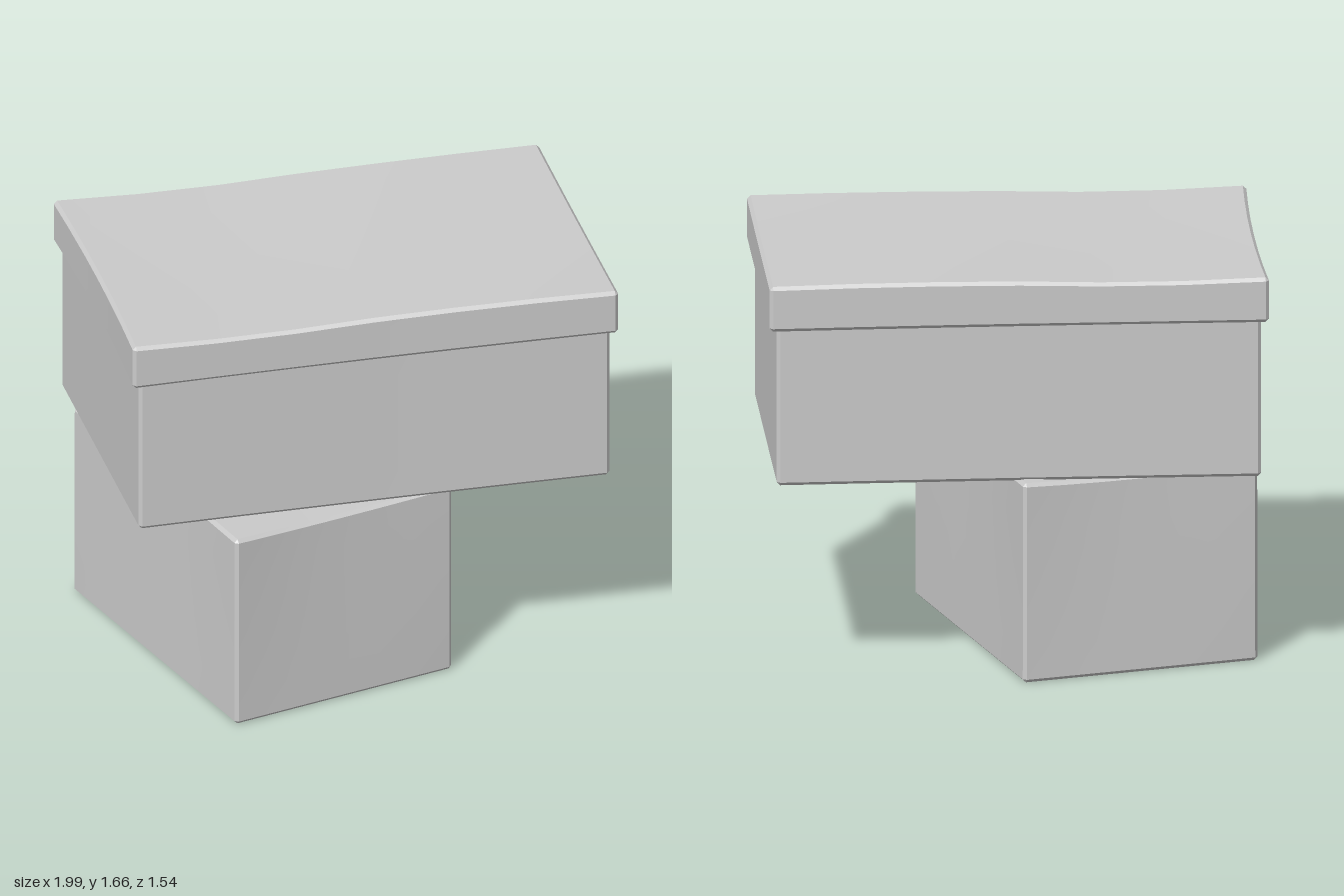
import * as THREE from 'three';
import { toCreasedNormals } from 'three/addons/utils/BufferGeometryUtils.js';

const SEGMENTS = 8;
const CHAMFER = 0.014;

// Chamfered box spanning min..max; warp(point, u) bends it, u running -1..1 per axis.
function warpedBox(name, min, max, warp) {
  const geometry = new THREE.BoxGeometry(2, 2, 2, SEGMENTS, SEGMENTS, SEGMENTS);
  const position = geometry.attributes.position;
  const p = new THREE.Vector3();
  const u = new THREE.Vector3();
  const axes = ['x', 'y', 'z'];
  for (let i = 0; i < position.count; i++) {
    u.fromBufferAttribute(position, i);
    const outer = axes.filter((a) => Math.abs(u[a]) > 0.999).length;
    // Edges and corners are cut back; the next grid line marks the chamfer's rim.
    const inset = [0, 0, CHAMFER / 2, CHAMFER * 2 / 3][outer];
    axes.forEach((a, k) => {
      const half = (max[k] - min[k]) / 2;
      const step = Math.round((Math.abs(u[a]) * SEGMENTS) / 2);
      const last = SEGMENTS / 2;
      let reach = half * Math.min(1, step / (last - 1));
      if (step === last) reach = half - inset;
      else if (step === last - 1) reach = half - CHAMFER;
      else reach = (half - CHAMFER) * step / (last - 1);
      p[a] = (min[k] + max[k]) / 2 + Math.sign(u[a]) * reach;
      u[a] = Math.sign(u[a]) * reach / half;
    });
    warp(p, u);
    position.setXYZ(i, p.x, p.y, p.z);
  }
  const mesh = new THREE.Mesh(
    toCreasedNormals(geometry, 0.3),
    new THREE.MeshStandardMaterial({ color: 0xcccccc })
  );
  mesh.name = name;
  return mesh;
}

const bulge = (t) => Math.max(0, 1 - t * t);

export function createModel() {
  const group = new THREE.Group();
  group.name = 'stackedBoxes';

  // Lower box, turned on the floor, with walls sagging inwards near the top
  const lower = warpedBox('lowerBox', [-0.495, 0, -0.665], [0.495, 0.828, 0.665], (p, u) => {
    const top = (u.y + 1) / 2;
    const { x, z } = p;
    p.x -= 0.02 * top * u.x * bulge(u.z);
    p.z -= 0.02 * top * u.z * bulge(u.x);
    p.y -= 0.016 * top * Math.max(bulge(x / 0.495), bulge(z / 0.665));
  });
  lower.rotation.y = THREE.MathUtils.degToRad(15.2);
  lower.position.set(-0.32, 0, 0);
  group.add(lower);

  // Upper box, resting off-centre on the lower one
  group.add(warpedBox('upperBox', [-0.97, 0.82, -0.705], [0.965, 1.5, 0.57], (p, u) => {
    p.z -= 0.006 * u.z * bulge(u.x);
  }));

  // Lid with a slightly wavy top and dented rim
  group.add(warpedBox('lid', [-1, 1.466, -0.73], [0.995, 1.652, 0.592], (p, u) => {
    const top = (u.y + 1) / 2;
    if (u.x < 0) p.x += 0.015 * bulge(u.z);
    p.z -= 0.01 * u.z * bulge(u.x);
    p.y += top * (0.012 * Math.sin(u.x * Math.PI) * (u.x < 0 ? 1 : 0.4) - 0.004 * bulge(u.z));
  }));

  return group;
}
